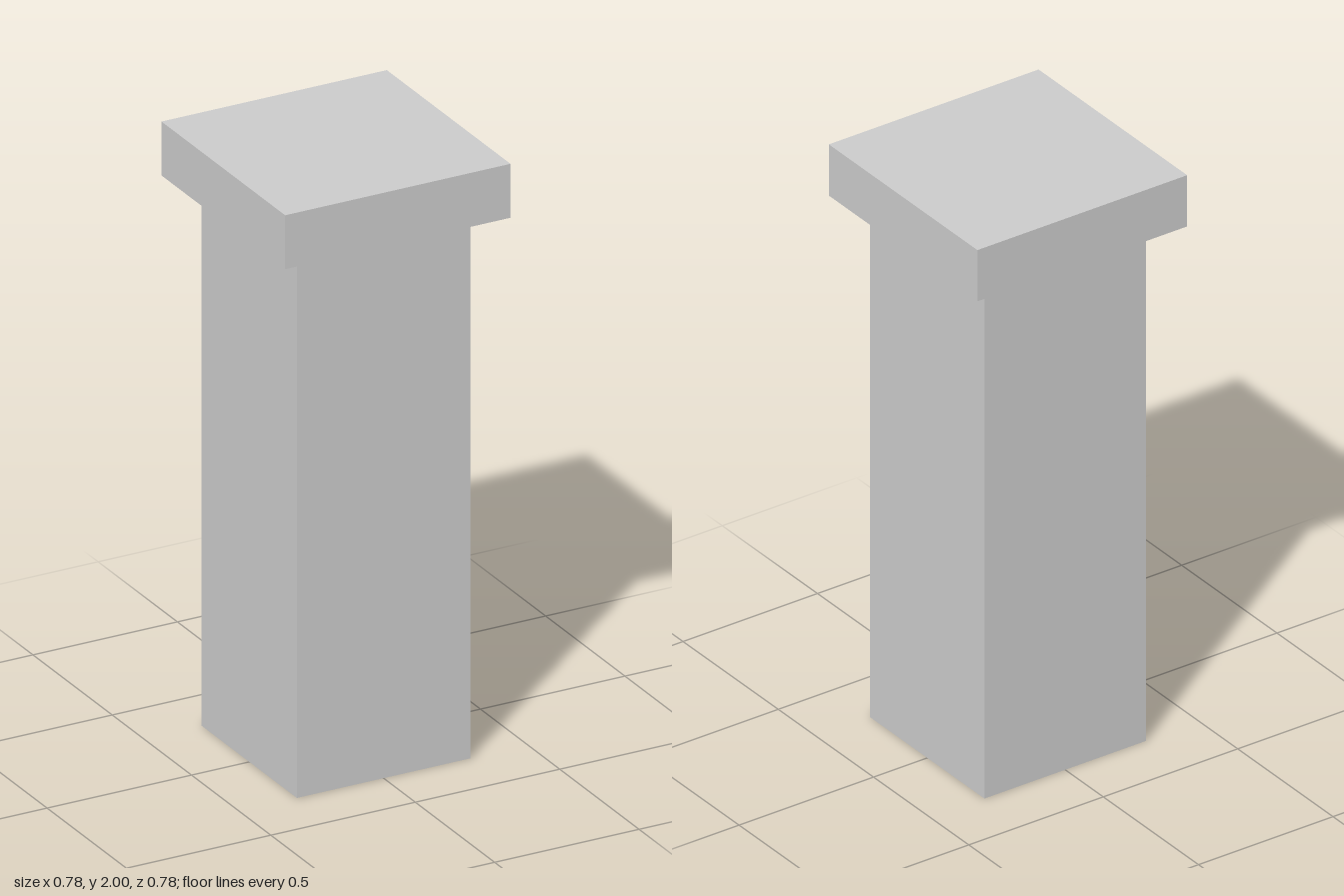
import * as THREE from 'three';

const material = new THREE.MeshStandardMaterial({ color: 0xcccccc, flatShading: true });

// Square block standing on height y
function block(name, width, height, y) {
  const mesh = new THREE.Mesh(new THREE.BoxGeometry(width, height, width), material);
  mesh.name = name;
  mesh.position.y = y + height / 2;
  return mesh;
}

export function createModel() {
  const group = new THREE.Group();
  group.name = 'pillar';

  const shaftHeight = 1.82;
  group.add(block('shaft', 0.6, shaftHeight, 0));
  // Overhanging slab on top of the shaft
  group.add(block('cap', 0.78, 2 - shaftHeight, shaftHeight));

  return group;
}
